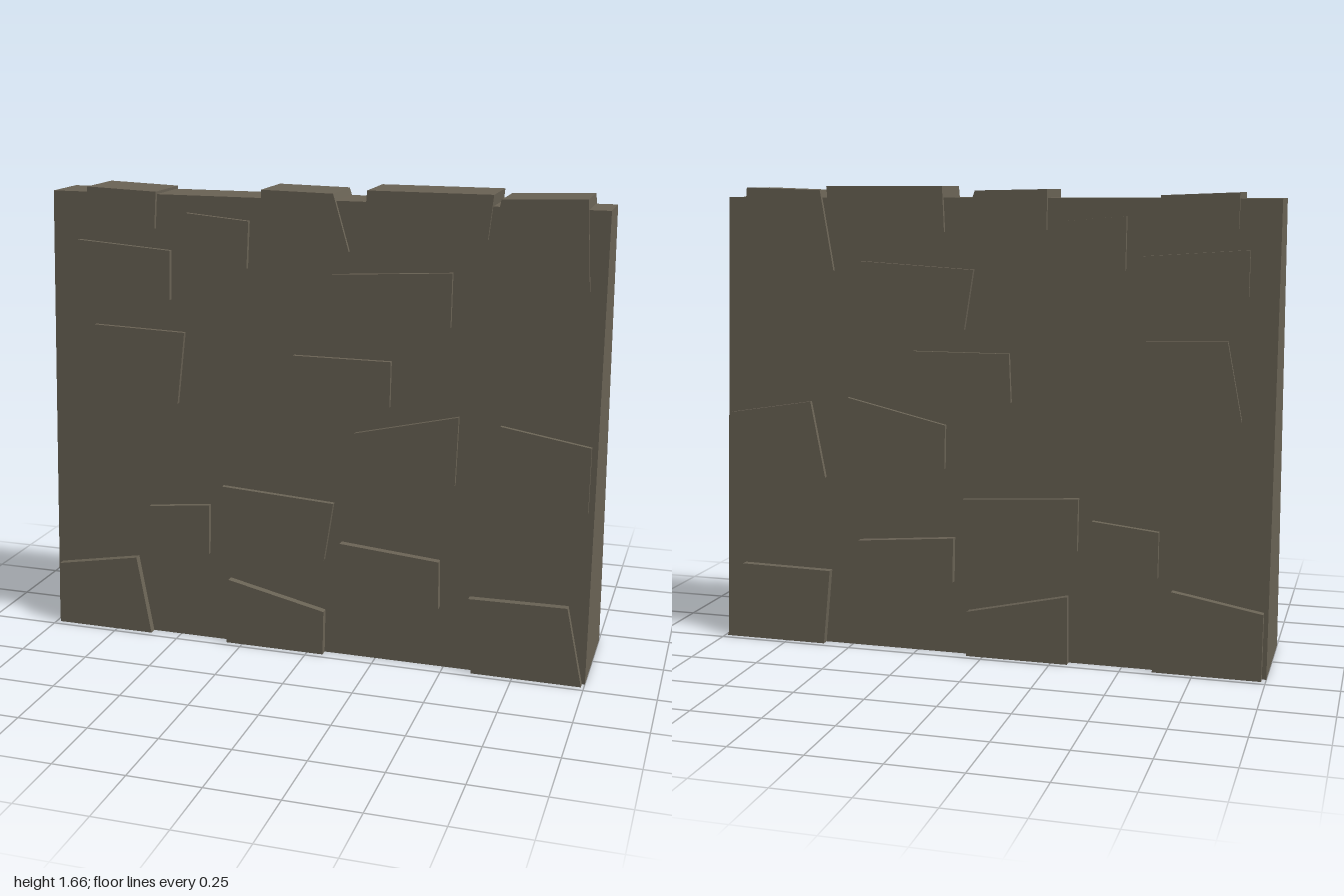
import * as THREE from 'three';

// Half thickness of the battered wall at height y
const halfDepth = (y) => 0.2 - 0.068 * y;

// Block with a four-cornered face [x, y] x 4 (from bottom left, anticlockwise),
// running through the wall and standing proud of it by `proud` on both sides
function throughBlock(c, proud) {
  const geo = new THREE.BoxGeometry(1, 1, 1);
  const pos = geo.attributes.position;
  for (let i = 0; i < pos.count; i++) {
    const right = pos.getX(i) > 0;
    const k = pos.getY(i) > 0 ? (right ? 2 : 3) : (right ? 1 : 0);
    const x = c[k * 2], y = c[k * 2 + 1];
    pos.setXYZ(i, x, y, Math.sign(pos.getZ(i)) * (halfDepth(y) + proud));
  }
  // leave out the underside, the fourth face of the box
  const index = Array.from(geo.index.array);
  index.splice(18, 6);
  geo.setIndex(index);
  geo.clearGroups();
  geo.computeVertexNormals();
  return geo;
}

// Stones by course: corners as x, y pairs
const courses = {
  copingStone: { proud: 0.014, stones: [
    [-0.86, 1.52, -0.6, 1.5, -0.595, 1.63, -0.86, 1.64],
    [-0.2, 1.51, 0.12, 1.45, 0.06, 1.645, -0.2, 1.65],
    [0.17, 1.5, 0.6, 1.51, 0.615, 1.66, 0.18, 1.66],
    [0.585, 1.36, 0.945, 1.355, 0.925, 1.655, 0.64, 1.645],
  ] },
  upperStone: { proud: 0.017, stones: [
    [-0.9, 1.295, -0.54, 1.25, -0.54, 1.425, -0.9, 1.45],
    [-0.48, 1.375, -0.25, 1.375, -0.245, 1.54, -0.48, 1.56],
    [0.09, 1.16, 0.485, 1.21, 0.485, 1.395, 0.06, 1.37],
  ] },
  middleStone: { proud: 0.016, stones: [
    [-0.89, 0.875, -0.51, 0.875, -0.485, 1.135, -0.835, 1.145],
    [-0.085, 0.91, 0.28, 0.92, 0.28, 1.08, -0.075, 1.08],
    [0.155, 0.665, 0.52, 0.665, 0.525, 0.905, 0.155, 0.82],
    [0.61, 0.61, 0.98, 0.61, 0.98, 0.835, 0.67, 0.885],
  ] },
  lowerStone: { proud: 0.019, stones: [
    [-0.335, 0.4, 0.055, 0.35, 0.085, 0.56, -0.335, 0.585],
    [-0.62, 0.325, -0.385, 0.325, -0.385, 0.51, -0.62, 0.485],
  ] },
  footingStone: { proud: 0.027, stones: [
    [0.115, 0.26, 0.48, 0.22, 0.475, 0.39, 0.115, 0.42],
    [-0.985, 0, -0.61, 0, -0.67, 0.285, -0.985, 0.23],
    [-0.31, 0, 0.06, 0, 0.06, 0.16, -0.305, 0.24],
    [0.605, 0, 0.99, 0, 0.93, 0.275, 0.585, 0.27],
  ] },
};

export function createModel() {
  const model = new THREE.Group();
  model.name = 'stoneWall';

  // Every block is open underneath, so its inside shows too
  const stoneMaterial = new THREE.MeshStandardMaterial({ color: 0x6a6355, side: THREE.DoubleSide });
  stoneMaterial.name = 'stone grey';

  // Tapered wall body
  const wall = new THREE.Mesh(
    throughBlock([-1, 0, 1, 0, 1, 1.62, -1, 1.62], 0), stoneMaterial);
  wall.name = 'wallBody';
  model.add(wall);

  // Stones showing on both faces and along the top
  for (const [name, { proud, stones }] of Object.entries(courses)) {
    const course = new THREE.Group();
    course.name = name + 'Course';
    stones.forEach((corners, i) => {
      const stone = new THREE.Mesh(throughBlock(corners, proud), stoneMaterial);
      stone.name = name + (i + 1);
      course.add(stone);
    });
    model.add(course);
  }
  return model;
}
